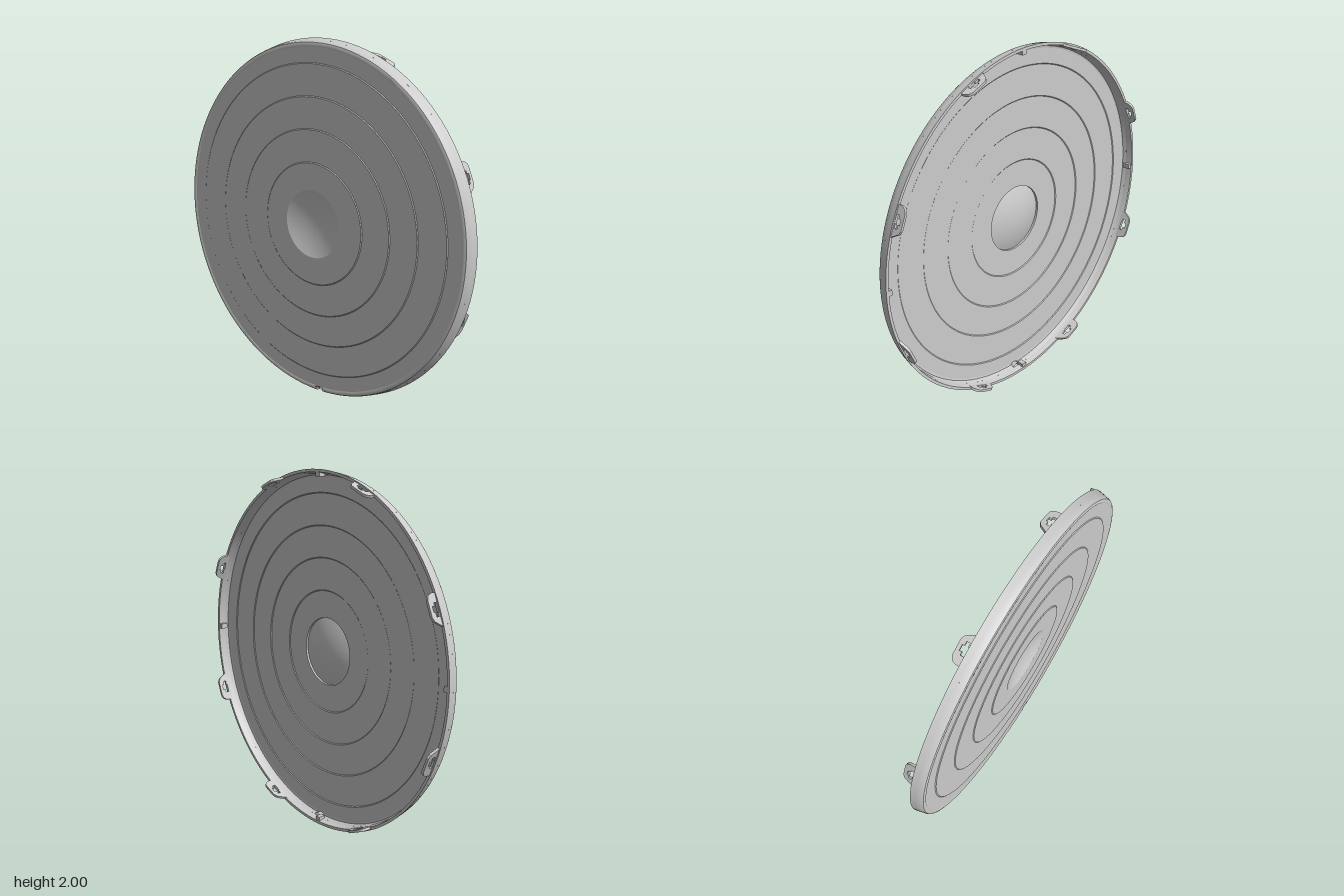
import * as THREE from 'three';
import { toCreasedNormals } from 'three/addons/utils/BufferGeometryUtils.js';

const grey = new THREE.MeshStandardMaterial({ color: 0xcccccc, side: THREE.DoubleSide });

function part(name, geometry, parent) {
  const mesh = new THREE.Mesh(geometry, grey);
  mesh.name = name;
  parent.add(mesh);
  return mesh;
}

// Revolve [radius, z] points about the z axis; phi = 0 is the bottom of the disc.
function revolve(points, phiStart = 0, phiLength = Math.PI * 2) {
  const profile = points.map(([r, z]) => new THREE.Vector2(r, z));
  const geometry = new THREE.LatheGeometry(profile, 128, phiStart, phiLength);
  geometry.rotateX(Math.PI / 2);
  return toCreasedNormals(geometry, 0.4);
}

// Flat mounting lug: one rounded shoulder, one slanted, with a cross-shaped hole.
function lugGeometry() {
  const shape = new THREE.Shape();
  shape.moveTo(-0.083, -0.012);
  shape.lineTo(-0.083, 0.018);
  shape.quadraticCurveTo(-0.078, 0.056, -0.04, 0.056);
  shape.lineTo(0.035, 0.056);
  shape.lineTo(0.055, 0.045);
  shape.lineTo(0.083, 0.0);
  shape.lineTo(0.083, -0.012);
  const hole = new THREE.Path();
  [[-0.035, 0.003], [-0.035, 0.022], [-0.018, 0.022], [-0.018, 0.037], [0.012, 0.037],
    [0.012, 0.026], [0.034, 0.026], [0.034, 0.008], [0.012, 0.008], [0.012, 0.003]]
    .forEach(([x, y], i) => (i ? hole.lineTo(x, y) : hole.moveTo(x, y)));
  hole.closePath();
  shape.holes.push(hole);
  const geometry = new THREE.ExtrudeGeometry(shape, { depth: 0.014, bevelEnabled: false, curveSegments: 8 });
  geometry.translate(0, 0, -0.007);
  return geometry;
}

export function createModel() {
  const model = new THREE.Group();
  model.name = 'roundCover';
  const disc = new THREE.Group();
  disc.name = 'disc';
  disc.position.y = 1;
  model.add(disc);

  // Stepped front panel: a thin shell rising slightly towards the middle
  const steps = [[0.87, 0.058], [0.695, 0.062], [0.52, 0.066], [0.34, 0.07]];
  const front = [[0.962, 0.054]];
  let z = 0.054;
  for (const [r, next] of steps) {
    front.push([r + 0.005, z], [r, next]);
    z = next;
  }
  front.push([0.19, 0.07]);
  const back = front.map(([r, h]) => [r, h - 0.012]).reverse();
  part('steppedPanel', revolve([...front, ...back]), disc);

  // Shallow spherical dish in the centre
  const dish = [];
  for (let i = 0; i <= 12; i++) {
    const t = i / 12;
    dish.push([0.19 * t, 0.07 - 0.036 * (1 - t * t)]);
  }
  part('centreDish', revolve(dish), disc);

  // Tapered side wall
  part('rimWall', revolve([
    [0.976, 0.02], [0.984, -0.015], [1.0, -0.015], [0.9925, 0.02],
  ]), disc);

  // Rounded front shoulder, interrupted by the cable notch at the bottom
  const notchAngle = 0.036, notchHalf = 0.025;
  part('rimShoulder', revolve([
    [0.9925, 0.02], [0.986, 0.046], [0.981, 0.053], [0.972, 0.056],
    [0.962, 0.056], [0.957, 0.054], [0.957, 0.042], [0.968, 0.04], [0.976, 0.02],
  ], notchAngle + notchHalf, Math.PI * 2 - notchHalf * 2), disc);

  // Arched lining of the notch
  const arch = new THREE.CylinderGeometry(0.026, 0.026, 0.04, 20, 1, true, -Math.PI / 2, Math.PI);
  arch.rotateX(-Math.PI / 2);
  part('notchArch', arch, disc).position.set(0.036, -0.981, 0.036);

  // Eight lugs behind the rim, mirrored so that slants face the nearest axis
  const lug = lugGeometry();
  for (let i = 0; i < 8; i++) {
    const angle = (i + 0.5) * Math.PI / 4;
    const holder = new THREE.Group();
    holder.name = 'mountingLug' + (i + 1);
    holder.rotation.z = angle - Math.PI / 2;
    const mesh = part('lugPlate', lug, holder);
    mesh.position.set(0, 0.984, -0.014);
    mesh.rotation.x = -Math.PI / 2;
    mesh.scale.x = i % 2 ? -1 : 1;
    disc.add(holder);
  }

  // Small clips on the inside of the wall
  for (let i = 0; i < 4; i++) {
    const holder = new THREE.Group();
    holder.name = 'innerClip' + (i + 1);
    holder.rotation.z = i * Math.PI / 2;
    part('clipBlock', new THREE.BoxGeometry(0.03, 0.022, 0.04), holder).position.set(0, 0.971, 0.008);
    disc.add(holder);
  }
  return model;
}
